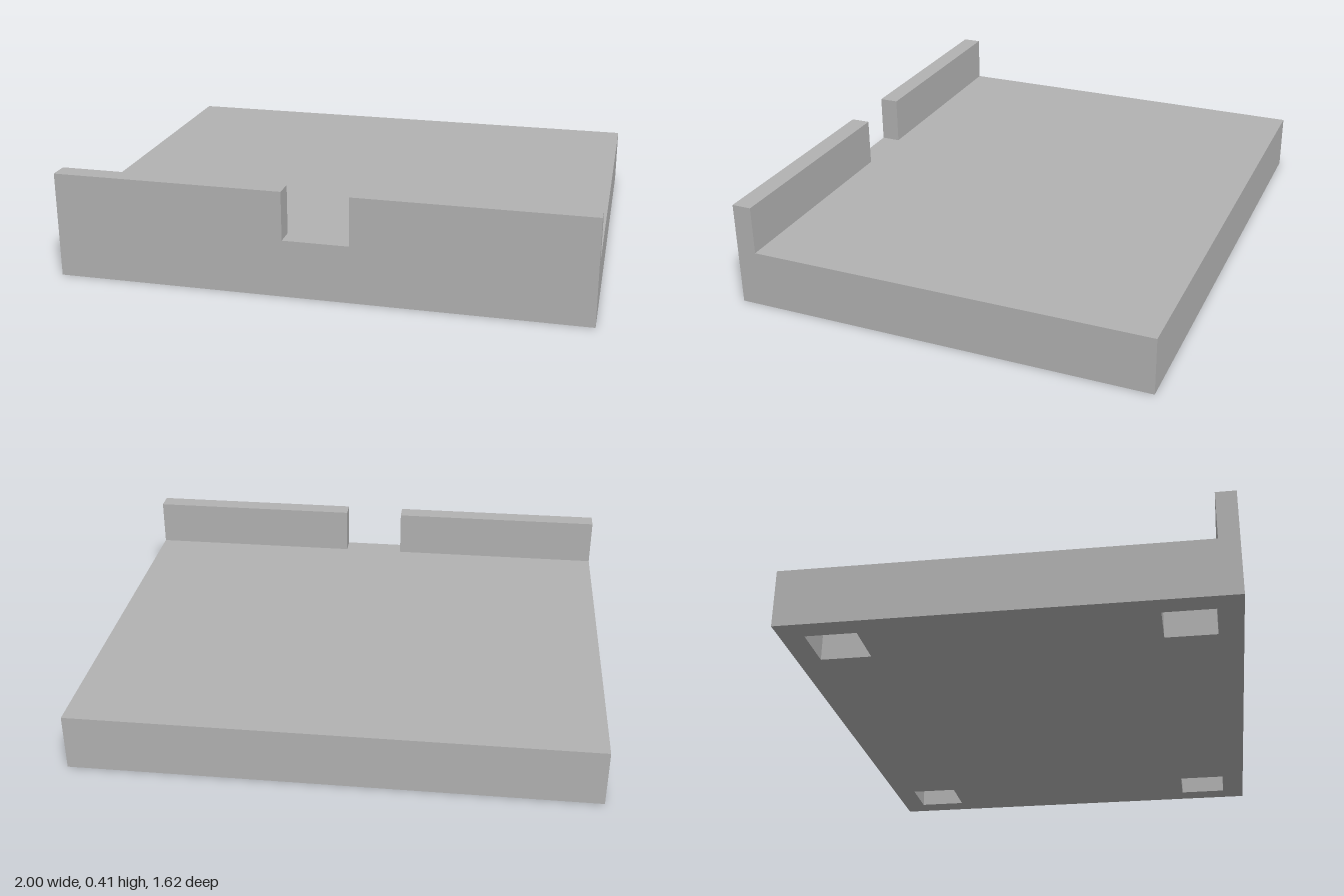
import * as THREE from 'three';

const HALF_W = 1, HALF_D = 0.8125;         // footprint half sizes
const SLAB_H = 0.22, TOTAL_H = 0.406;      // slab top and lip top
const LIP_T = 0.075, GAP = 0.25;           // front lip thickness and notch width
const POCKET = 0.19, INSET = 0.09, POCKET_DEPTH = 0.15;

// Traces a centred rectangle on a shape or hole path
function traceRect(path, cx, cy, w, h) {
  path.moveTo(cx - w / 2, cy - h / 2);
  path.lineTo(cx + w / 2, cy - h / 2);
  path.lineTo(cx + w / 2, cy + h / 2);
  path.lineTo(cx - w / 2, cy + h / 2);
  path.closePath();
  return path;
}

export function createModel() {
  const model = new THREE.Group();
  model.name = 'notchedTray';

  const grey = new THREE.MeshStandardMaterial({ color: 0xb2b2b2 });
  grey.name = 'plain grey';

  const add = (name, geometry, x, y, z) => {
    const mesh = new THREE.Mesh(geometry, grey);
    mesh.name = name;
    mesh.position.set(x, y, z);
    model.add(mesh);
  };

  // Lower layer of the slab, pierced by a square pocket near each corner
  const outline = traceRect(new THREE.Shape(), 0, 0, HALF_W * 2, HALF_D * 2);
  const px = HALF_W - INSET - POCKET / 2;
  const pz = HALF_D - INSET - POCKET / 2;
  for (const sx of [-1, 1]) {
    for (const sz of [-1, 1]) {
      outline.holes.push(traceRect(new THREE.Path(), sx * px, sz * pz, POCKET, POCKET));
    }
  }
  const lower = new THREE.ExtrudeGeometry(outline, { depth: POCKET_DEPTH, bevelEnabled: false });
  lower.rotateX(-Math.PI / 2);
  add('slabWithPockets', lower, 0, 0, 0);

  // Solid upper layer, which closes the pockets
  const topH = SLAB_H - POCKET_DEPTH;
  add('slabTop', new THREE.BoxGeometry(HALF_W * 2, topH, HALF_D * 2), 0, POCKET_DEPTH + topH / 2, 0);

  // Front lip in two halves with a notch between them
  const lipW = HALF_W - GAP / 2;
  const lipH = TOTAL_H - SLAB_H;
  for (const [name, side] of [['leftLip', 1], ['rightLip', -1]]) {
    add(name, new THREE.BoxGeometry(lipW, lipH, LIP_T),
      side * (GAP + lipW) / 2 , SLAB_H + lipH / 2, HALF_D - LIP_T / 2);
  }

  return model;
}
